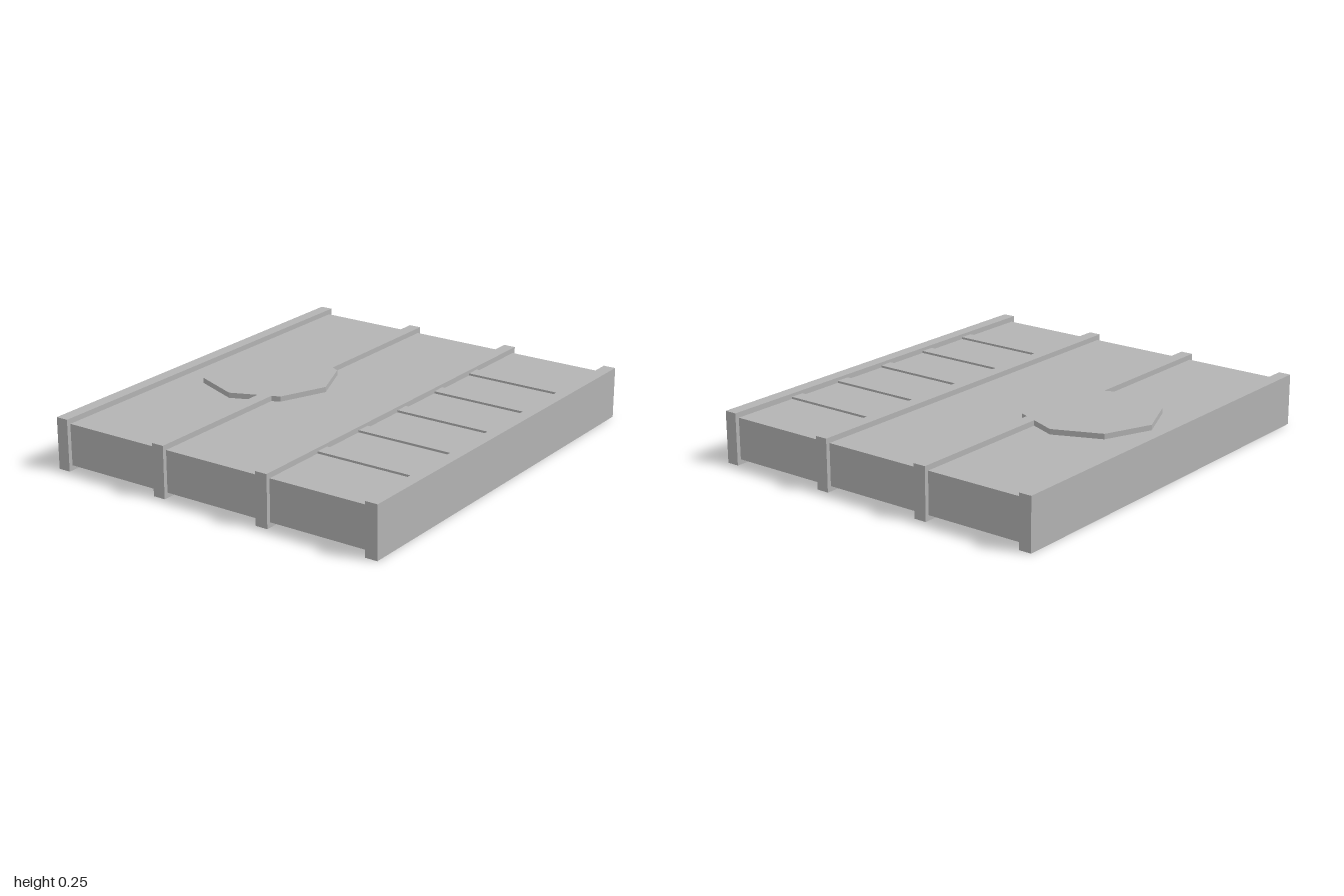
import * as THREE from 'three';

export function createModel() {
  const model = new THREE.Group();
  const grey = new THREE.MeshStandardMaterial({ color: 0xb3b3b3 });
  grey.name = 'grey';

  const add = (name, geometry, x, y, z) => {
    const mesh = new THREE.Mesh(geometry, grey);
    mesh.name = name;
    mesh.position.set(x, y, z);
    model.add(mesh);
  };
  const box = (name, w, y0, y1, d, x, z = 0) =>
    add(name, new THREE.BoxGeometry(w, y1 - y0, d), x, (y0 + y1) / 2, z);

  // Main slab
  box('slab', 1.64, 0.024, 0.22, 1.96, 0);

  // Four full-length rails, proud of the slab on every side
  [-0.822, -0.275, 0.275, 0.822].forEach((x, i) => box('rail' + (i + 1), 0.06, 0, 0.245, 2, x));

  // Low slats between the two left rails
  for (let i = -2; i <= 2; i++) box('slat' + (i + 3), 0.49, 0.21, 0.23, 0.068, 0.547, i * 0.305);

  // Octagonal plate, level with the rail tops
  const plate = new THREE.CylinderGeometry(0.316, 0.316, 0.035, 8).toNonIndexed();
  plate.computeVertexNormals();
  add('octagonalPlate', plate, -0.429, 0.2275, 0);

  return model;
}
